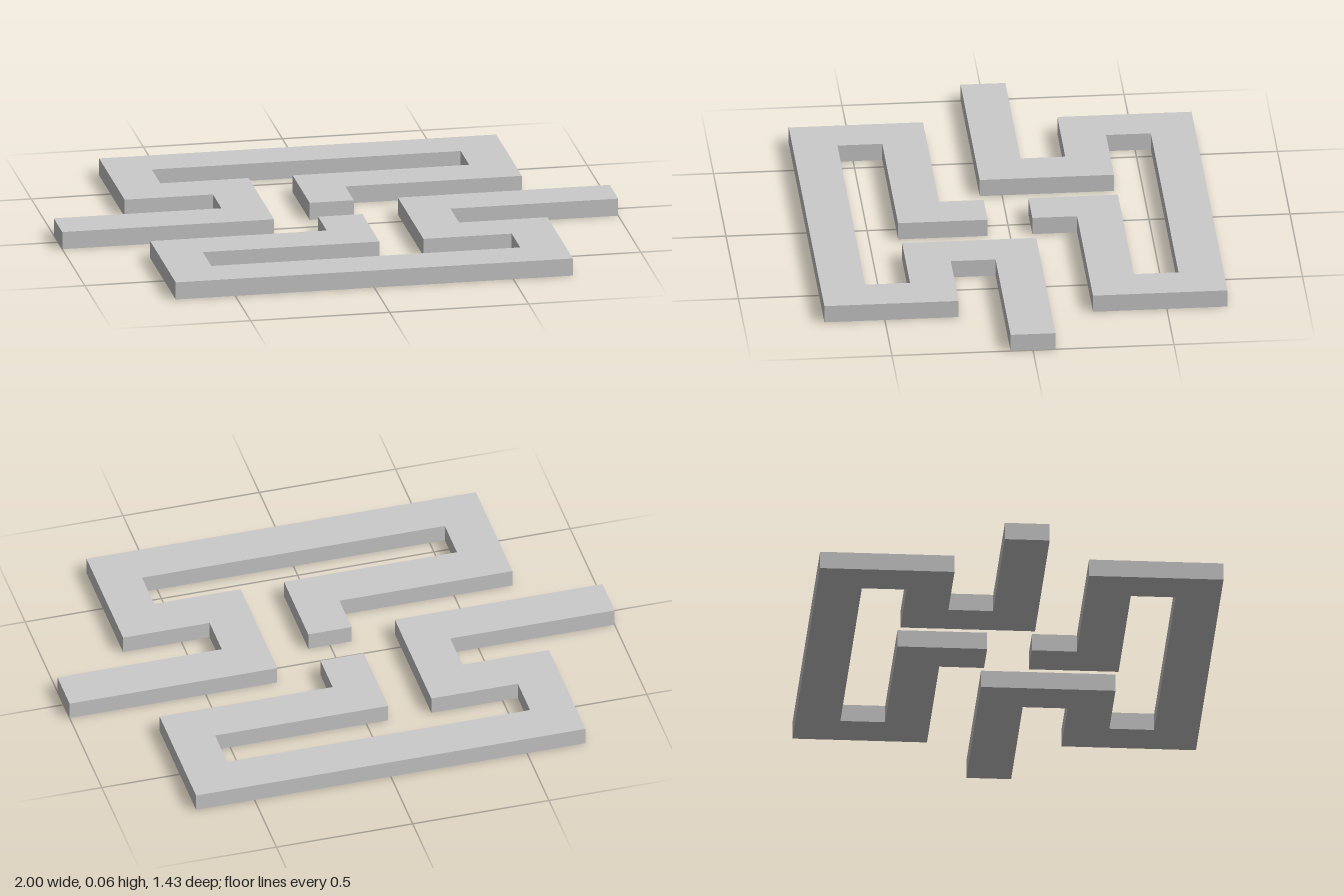
import * as THREE from 'three';

const U = 1 / 12.6; // half the width of a band
const THICKNESS = 0.8 * U;

export function createModel() {
  const model = new THREE.Group();
  model.name = 'meanderOrnament';
  const material = new THREE.MeshStandardMaterial({ color: 0xcccccc, flatShading: true });

  // Outline of one folded band, in band half-widths (x, towards the back)
  const outline = [
    [-12.6, 1], [-5, 1], [-5, 3], [-9, 3], [-9, 9], [9, 9], [9, 3], [1, 3], [1, 1],
    [-1, 1], [-1, 5], [7, 5], [7, 7], [-7, 7], [-7, 5], [-3, 5], [-3, -1], [-12.6, -1],
  ];
  const shape = new THREE.Shape(outline.map(([x, y]) => new THREE.Vector2(x * U, y * U)));
  const geometry = new THREE.ExtrudeGeometry(shape, { depth: THICKNESS, bevelEnabled: false });
  geometry.rotateX(-Math.PI / 2); // lay flat on the ground

  // Two identical bands, half a turn apart
  ['backBand', 'frontBand'].forEach((name, i) => {
    const band = new THREE.Mesh(geometry, material);
    band.name = name;
    band.rotation.y = i * Math.PI;
    model.add(band);
  });
  return model;
}
